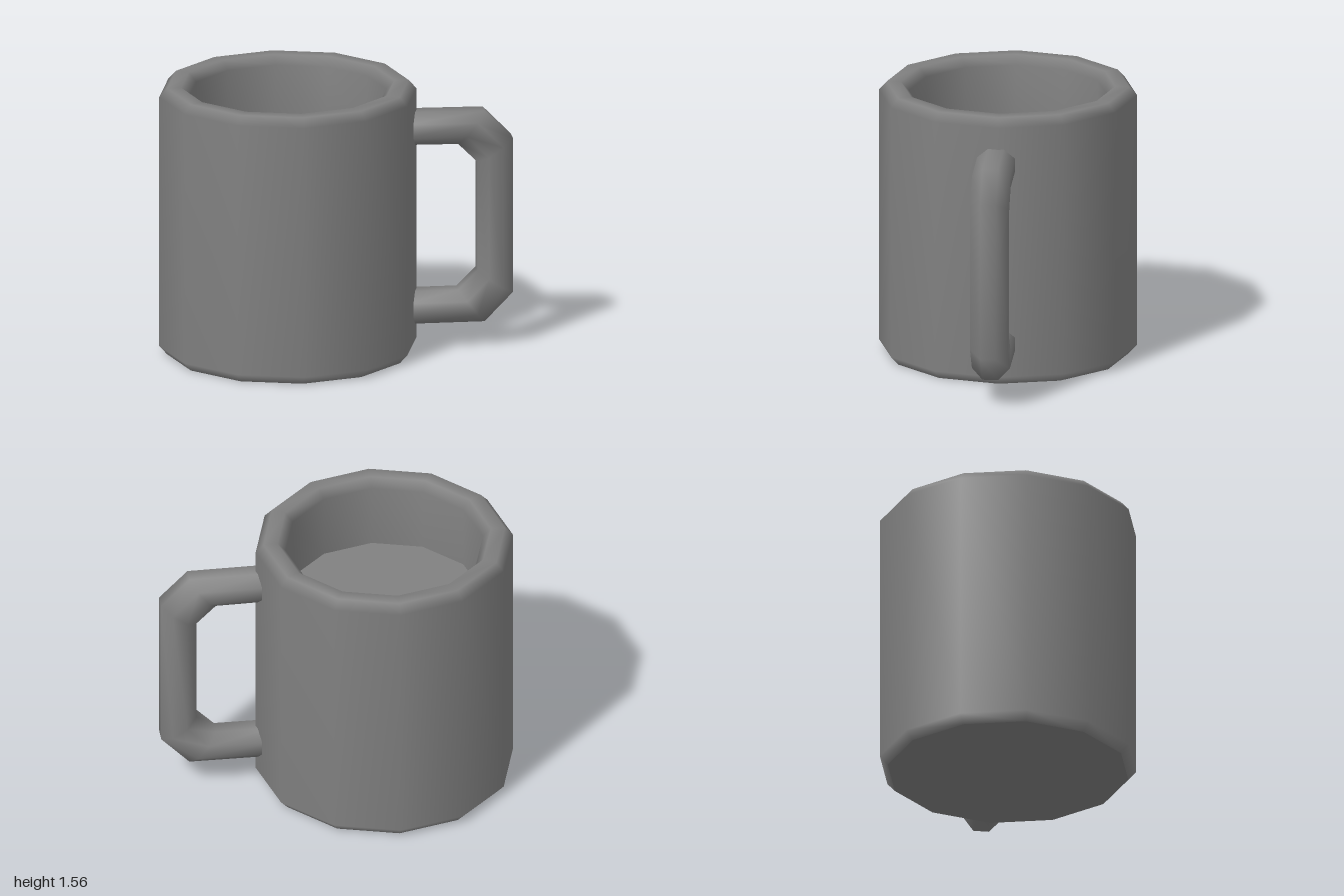
import * as THREE from 'three';

const SIDES = 12;
const LIQUID_Y = 1.14;

// Octagonal handle: each station is an [outer x, y, inner x, y] pair on the bent bar
function handleGeometry() {
  const stations = [
    [0.38, 1.385, 0.38, 1.195],
    [0.84, 1.38, 0.69, 1.19],
    [1.0, 1.215, 0.8, 1.08],
    [1.0, 0.31, 0.8, 0.445],
    [0.84, 0.145, 0.69, 0.335],
    [0.38, 0.145, 0.38, 0.335],
  ];
  const n = 8, halfDepth = 0.107, zMid = 0.012;
  const grow = 1 / Math.cos(Math.PI / n);
  const positions = [], index = [];
  stations.forEach(([ox, oy, ix, iy], s) => {
    for (let j = 0; j < n; j++) {
      const a = ((j + 0.5) / n) * Math.PI * 2;
      const u = (Math.cos(a) * grow) / 2;
      positions.push(
        (ox + ix) / 2 + (ox - ix) * u,
        (oy + iy) / 2 + (oy - iy) * u,
        zMid + Math.sin(a) * grow * halfDepth
      );
      if (s < stations.length - 1) {
        const p = s * n + j, q = s * n + ((j + 1) % n);
        index.push(p, q, p + n, q, q + n, p + n);
      }
    }
  });
  const geometry = new THREE.BufferGeometry();
  geometry.setAttribute('position', new THREE.Float32BufferAttribute(positions, 3));
  geometry.setIndex(index);
  geometry.computeVertexNormals();
  return geometry;
}

export function createModel() {
  const model = new THREE.Group();
  model.name = 'mug';
  const grey = new THREE.MeshStandardMaterial({ color: 0x808080 });
  grey.name = 'grey';

  const add = (name, geometry, parent) => {
    const mesh = new THREE.Mesh(geometry, grey);
    mesh.name = name;
    parent.add(mesh);
    return mesh;
  };

  const cup = new THREE.Group();
  cup.name = 'cup';
  cup.position.x = -0.27;
  model.add(cup);

  // Wall with bevelled foot and rim, continuing down the inside
  const profile = [
    [0.685, 0], [0.73, 0.05], [0.73, 1.51], [0.685, 1.56],
    [0.605, 1.56], [0.56, 1.51], [0.56, LIQUID_Y],
  ].map(([r, y]) => new THREE.Vector2(r, y));
  add('wall', new THREE.LatheGeometry(profile, SIDES), cup);

  // Flat underside and the surface inside the cup
  add('base', new THREE.CircleGeometry(0.685, SIDES).rotateX(Math.PI / 2), cup);
  add('innerFloor', new THREE.CircleGeometry(0.56, SIDES).rotateX(-Math.PI / 2), cup).position.y = LIQUID_Y;

  add('handle', handleGeometry(), model);
  return model;
}
